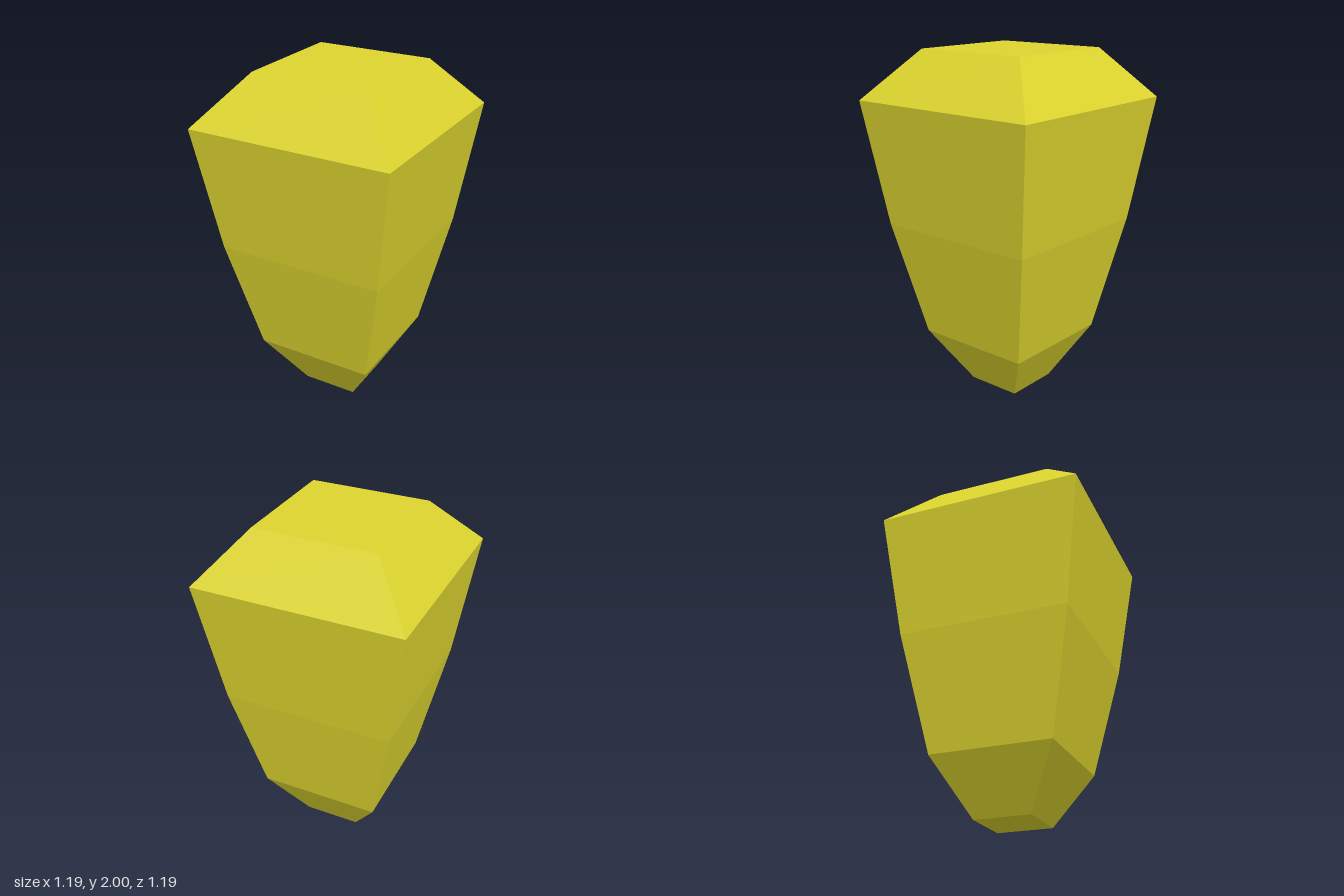
import * as THREE from 'three';

// Square cross-sections from bottom to top: [height, half width, z offset]
const SECTIONS = [
  [0, 0.164, -0.008],
  [0.325, 0.352, -0.004],
  [1, 0.491, 0],
  [1.72, 0.593, 0],
  [2, 0.347, -0.007],
];

// A box with one height segment per band, its rows moved to the sections
function createGemBody() {
  const bands = SECTIONS.length - 1;
  const box = new THREE.BoxGeometry(2, bands, 2, 1, bands, 1);
  const pos = box.attributes.position;
  for (let i = 0; i < pos.count; i++) {
    const [y, half, dz] = SECTIONS[Math.round(pos.getY(i) + bands / 2)];
    pos.setXYZ(i, pos.getX(i) * half, y, pos.getZ(i) * half + dz);
  }
  const geometry = box.toNonIndexed();
  geometry.computeVertexNormals();
  return geometry;
}

export function createModel() {
  const group = new THREE.Group();
  group.name = 'gem';

  // Faceted, tapering body with bevelled crown and foot
  const material = new THREE.MeshStandardMaterial({ color: 0xdcd42e, flatShading: true });
  const body = new THREE.Mesh(createGemBody(), material);
  body.name = 'gemBody';
  group.add(body);

  return group;
}
